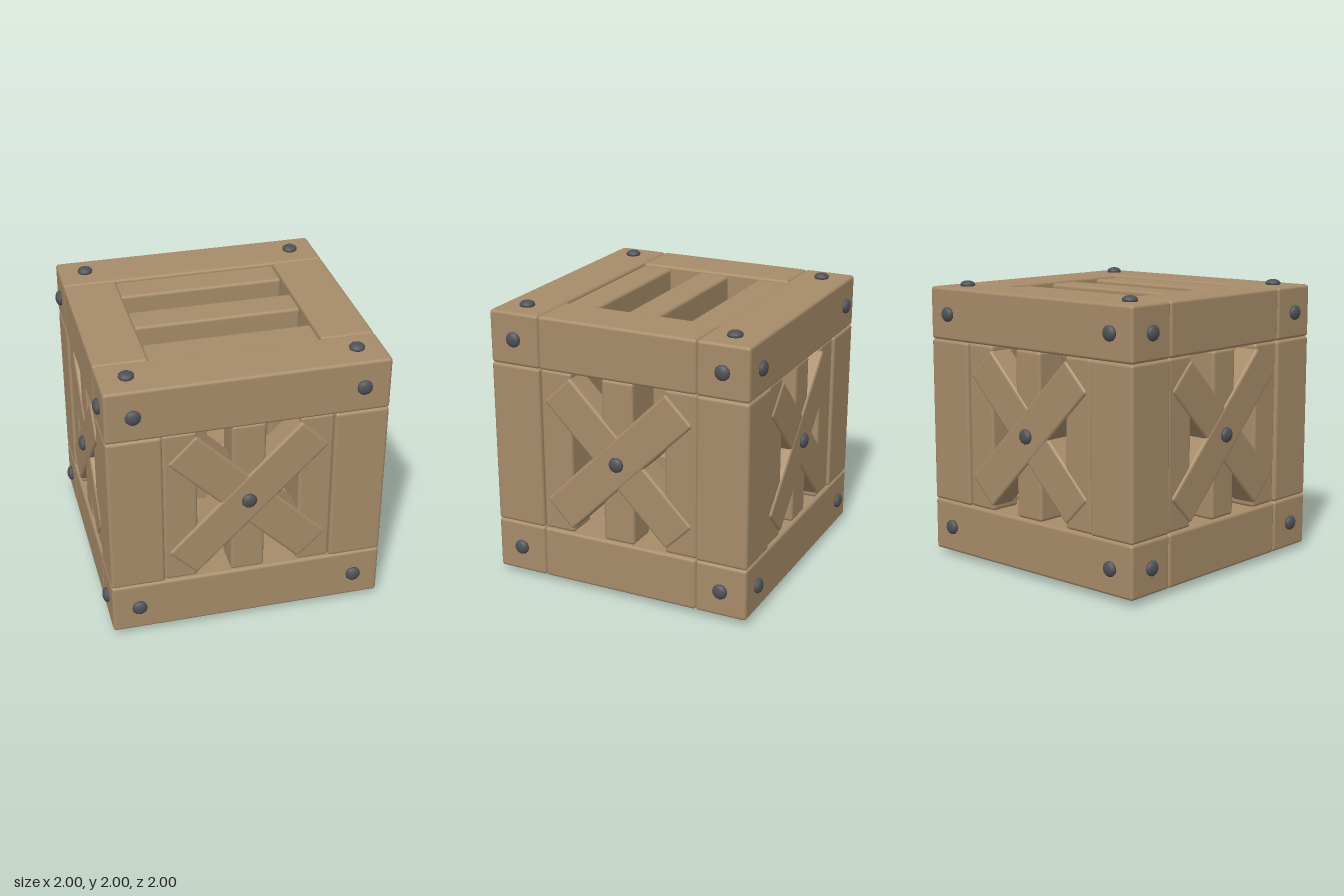
import * as THREE from 'three';
import { RoundedBoxGeometry } from 'three/addons/geometries/RoundedBoxGeometry.js';

export function createModel() {
  const crate = new THREE.Group();
  crate.name = 'crate';
  const wood = new THREE.MeshStandardMaterial({ color: 0xa68b69 });
  wood.name = 'wood';
  const iron = new THREE.MeshStandardMaterial({ color: 0x505156 });
  iron.name = 'darkIron';

  const HALF = 0.96;          // outer face of the frame
  const BEAM = 0.374;         // beam thickness
  const C = HALF - BEAM / 2;  // beam centre line
  const INNER = 2 * (HALF - BEAM);
  const SLAT = 0.235;
  const SLAT_POS = INNER / 2 - SLAT / 2;
  const SLAT_DEPTH = 0.944 - SLAT / 2;
  const signs = [-1, 1];

  // Everything is built around the cube centre, then lifted by one unit
  const body = new THREE.Group();
  body.name = 'crateBody';
  body.position.y = 1;
  crate.add(body);

  function board(parent, name, size, pos, radius = 0.022) {
    const mesh = new THREE.Mesh(new RoundedBoxGeometry(...size, 3, radius), wood);
    mesh.name = name;
    mesh.position.set(...pos);
    parent.add(mesh);
    return mesh;
  }

  // Flattened dome bolt, pointing along local +z
  const boltGeo = new THREE.SphereGeometry(0.054, 12, 10);
  boltGeo.rotateX(Math.PI / 2);
  boltGeo.scale(1, 1, 0.55);
  function bolt(parent, x, y) {
    const mesh = new THREE.Mesh(boltGeo, iron);
    mesh.name = 'bolt';
    mesh.position.set(x, y, 0.97);
    parent.add(mesh);
  }

  // Frame: long beams, side beams and corner posts
  for (const a of signs) {
    for (const b of signs) {
      board(body, 'longBeam', [2 * HALF, BEAM, BEAM], [0, a * C, b * C]);
      board(body, 'sideBeam', [BEAM, BEAM, INNER], [a * C, b * C, 0]);
      board(body, 'cornerPost', [BEAM, INNER, BEAM], [a * C, 0, b * C]);
    }
  }

  // Four walls: upright slats, crossed braces, bolts
  ['frontWall', 'leftWall', 'backWall', 'rightWall'].forEach((name, i) => {
    const wall = new THREE.Group();
    wall.name = name;
    wall.rotation.y = i * Math.PI / 2;
    body.add(wall);
    for (const k of [-1, 0, 1]) {
      board(wall, 'wallSlat', [SLAT, INNER, SLAT], [k * SLAT_POS, 0, SLAT_DEPTH]);
    }
    for (const s of signs) {
      const front = s > 0 ? 0.958 : 0.954;
      const brace = board(wall, 'crossBrace', [1.3, 0.28, 0.2], [0, 0, front - 0.1]);
      brace.rotation.z = s * Math.PI / 4;
    }
    bolt(wall, 0, 0);
    for (const x of signs) for (const y of signs) bolt(wall, x * C, y * C);
  });

  // Lid and floor: slats across the opening, corner bolts
  for (const s of signs) {
    const panel = new THREE.Group();
    panel.name = s > 0 ? 'lid' : 'floor';
    panel.rotation.x = -s * Math.PI / 2;
    body.add(panel);
    for (const k of [-1, 0, 1]) {
      board(panel, 'panelSlat', [INNER, SLAT, SLAT], [0, k * SLAT_POS, SLAT_DEPTH]);
    }
    for (const x of signs) for (const y of signs) bolt(panel, x * C, y * C);
  }

  return crate;
}
